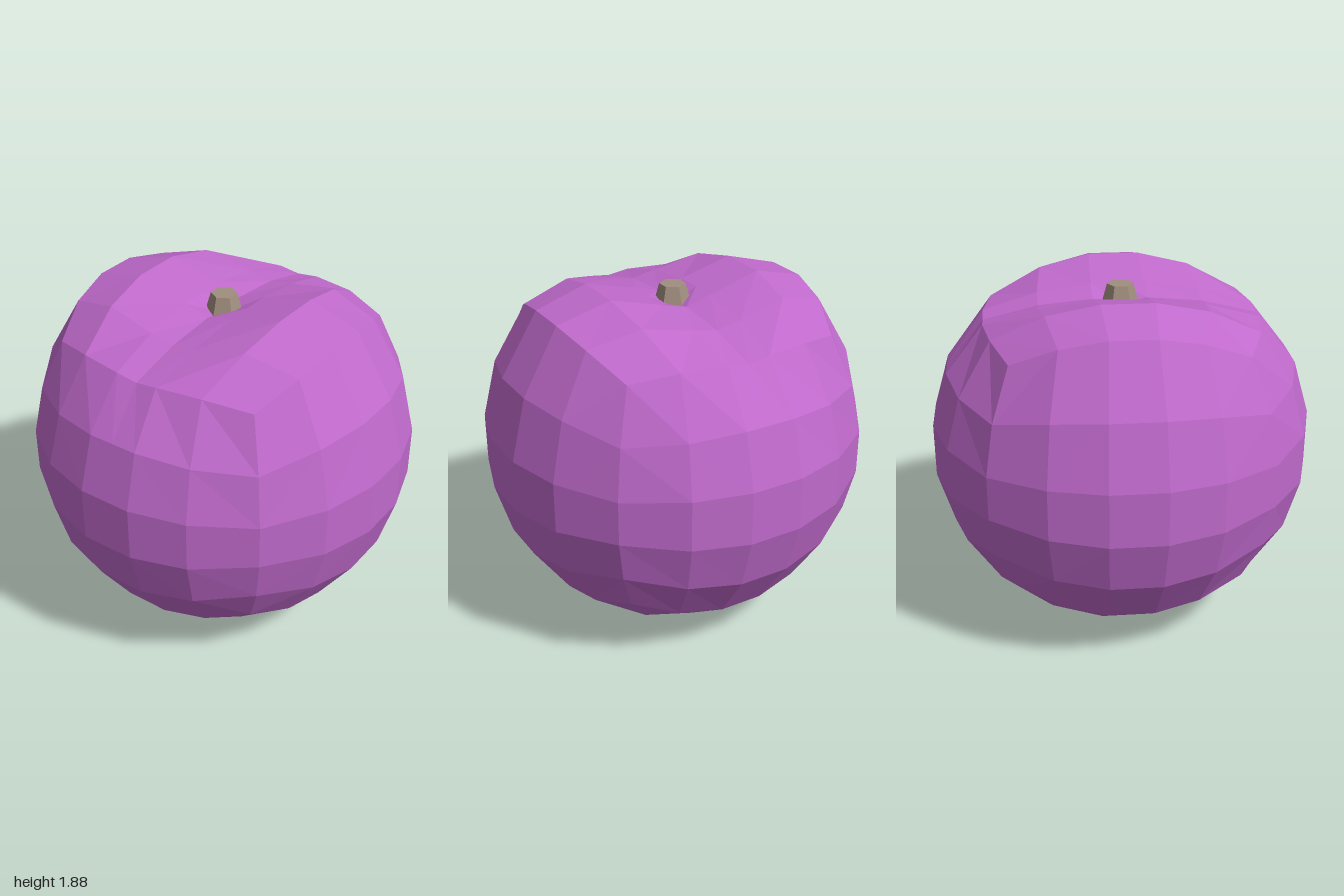
import * as THREE from 'three';

const R = 1.02;
const SPLIT = [-1, -0.6, -0.2, 0, 0.2, 0.6, 1]; // extra middle line for the crease
const PLAIN = [-1, -0.6, -0.2, 0.2, 0.6, 1];
// Heights on top: rows by |x| = 0.2, 0.6, 1; columns by |z| = 0, 0.2, 0.6, 1
const TOP = [
  [1.765, 1.803, 1.88, 1.8],
  [1.74, 1.765, 1.82, 1.75],
  [1.67, 1.685, 1.685, 1.645],
];
const step = (a) => (a < 0.1 ? 0 : a < 0.3 ? 1 : a < 0.7 ? 2 : 3);

// Cube point -> rounded fruit surface, with the top pressed into a groove along x
function fruitPoint([x, y, z]) {
  const a = x === 0 ? 0.2 : x, c = z === 0 ? 0.2 : z;
  const round = (p, q, r) => R * p * Math.sqrt(1 - (q * q + r * r) / 2 + (q * q * r * r) / 3);
  const px = x === 0 ? 0 : round(a, y, c);
  const pz = z === 0 ? 0 : round(c, a, y);
  let py = 1 + round(y, a, c);
  if (y === 1) {
    py = TOP[Math.max(step(Math.abs(x)), 1) - 1][step(Math.abs(z))];
    if (x === 0 && z === 0) py = 1.735; // dimple under the stem
  } else if (y === 0.6 && Math.abs(z) === 1) {
    py += Math.abs(x) === 1 ? 0.025 : 0.04; // shoulders
  }
  return [px, Math.max(py, 0), pz];
}

function fruitGeometry() {
  const positions = [];
  const lines = [SPLIT, PLAIN, SPLIT];
  for (let d = 0; d < 3; d++) {
    const u = (d + 1) % 3, v = (d + 2) % 3;
    for (const side of [1, -1]) {
      const at = (i, j) => {
        const p = [0, 0, 0];
        p[d] = side;
        p[u] = lines[u][i];
        p[v] = lines[v][j];
        return fruitPoint(p);
      };
      for (let i = 0; i < lines[u].length - 1; i++) {
        for (let j = 0; j < lines[v].length - 1; j++) {
          const q = [at(i, j), at(i + 1, j), at(i + 1, j + 1), at(i, j + 1)];
          if (side < 0) q.reverse();
          for (const k of [0, 1, 2, 0, 2, 3]) positions.push(...q[k]);
        }
      }
    }
  }
  const geometry = new THREE.BufferGeometry();
  geometry.setAttribute('position', new THREE.Float32BufferAttribute(positions, 3));
  geometry.computeVertexNormals(); // unshared corners give flat facets
  return geometry;
}

export function createModel() {
  const skin = new THREE.MeshStandardMaterial({ color: 0xc06acc });
  skin.name = 'purple skin';
  const wood = new THREE.MeshStandardMaterial({ color: 0xa08e7e });
  wood.name = 'stem brown';

  const group = new THREE.Group();
  group.name = 'fruit';

  const body = new THREE.Mesh(fruitGeometry(), skin);
  body.name = 'fruitBody';
  group.add(body);

  // Short six-sided stem, corners along x
  const stemGeometry = new THREE.CylinderGeometry(0.068, 0.1, 0.115, 6).rotateY(Math.PI / 6).toNonIndexed();
  stemGeometry.computeVertexNormals();
  const stem = new THREE.Mesh(stemGeometry, wood);
  stem.name = 'stem';
  stem.position.set(0, 1.79, 0);
  group.add(stem);

  return group;
}
